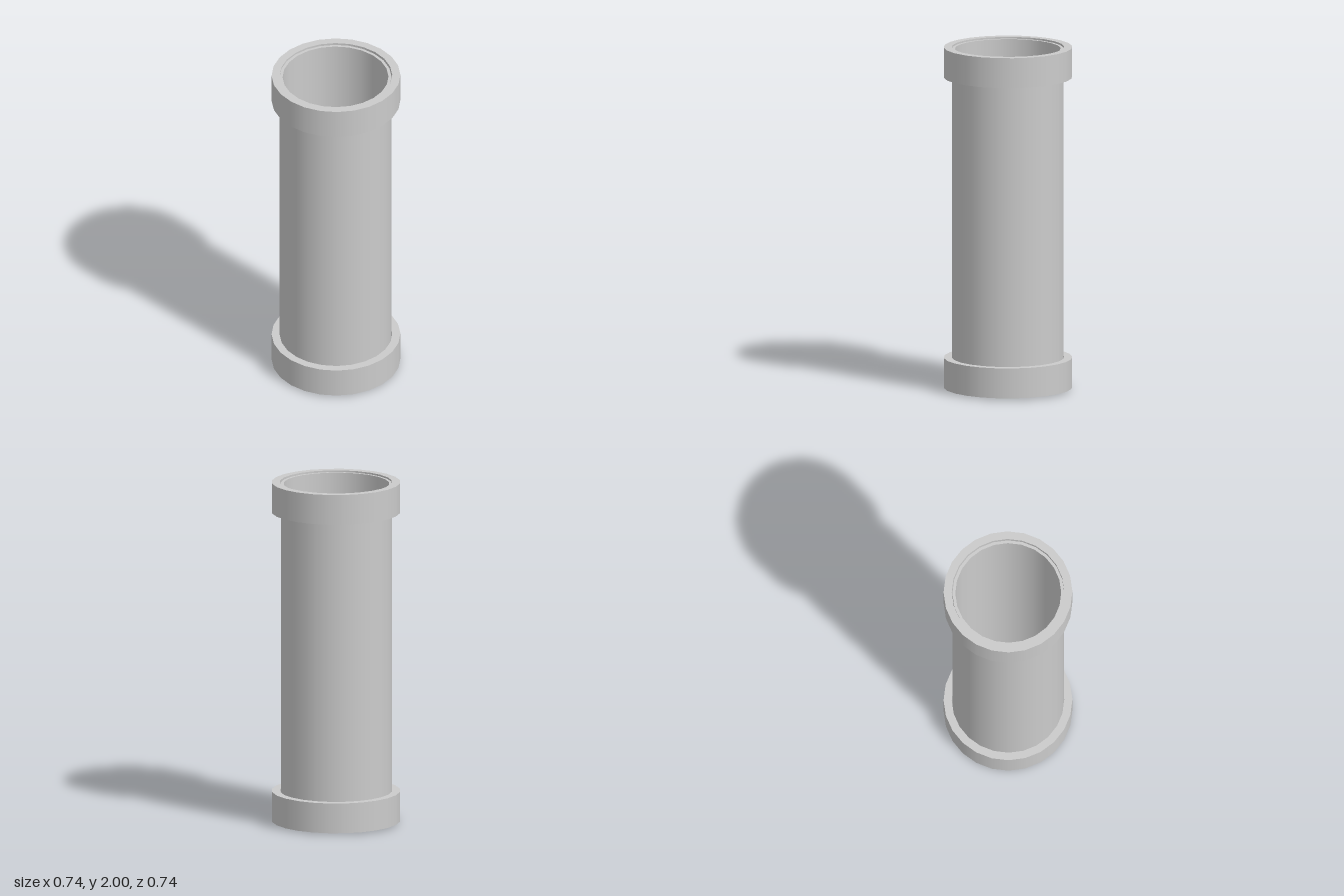
import * as THREE from 'three';
import { mergeGeometries } from 'three/addons/utils/BufferGeometryUtils.js';

const SIDES = 24;

// Hollow cylinder with smooth walls and crisp rims: one lathe strip per profile edge
function hollowCylinder(inner, outer, bottom, top) {
  const profile = [[outer, bottom], [outer, top], [inner, top], [inner, bottom]]
    .map(([r, y]) => new THREE.Vector2(r, y));
  const strips = profile.map((p, i) =>
    new THREE.LatheGeometry([p, profile[(i + 1) % profile.length]], SIDES));
  return mergeGeometries(strips);
}

export function createModel() {
  const group = new THREE.Group();
  group.name = 'pipe';
  const material = new THREE.MeshStandardMaterial({ color: 0xcccccc });

  const add = (name, geometry) => {
    const mesh = new THREE.Mesh(geometry, material);
    mesh.name = name;
    group.add(mesh);
    return mesh;
  };

  // Thin tube, sitting a hair off-centre and just below the upper rim
  add('tube', hollowCylinder(0.305, 0.322, 0, 1.99)).position.x = -0.003;

  // Collars around both ends
  add('bottomCollar', hollowCylinder(0.324, 0.371, 0.01, 0.185));
  add('topCollar', hollowCylinder(0.324, 0.371, 1.825, 2));

  return group;
}
